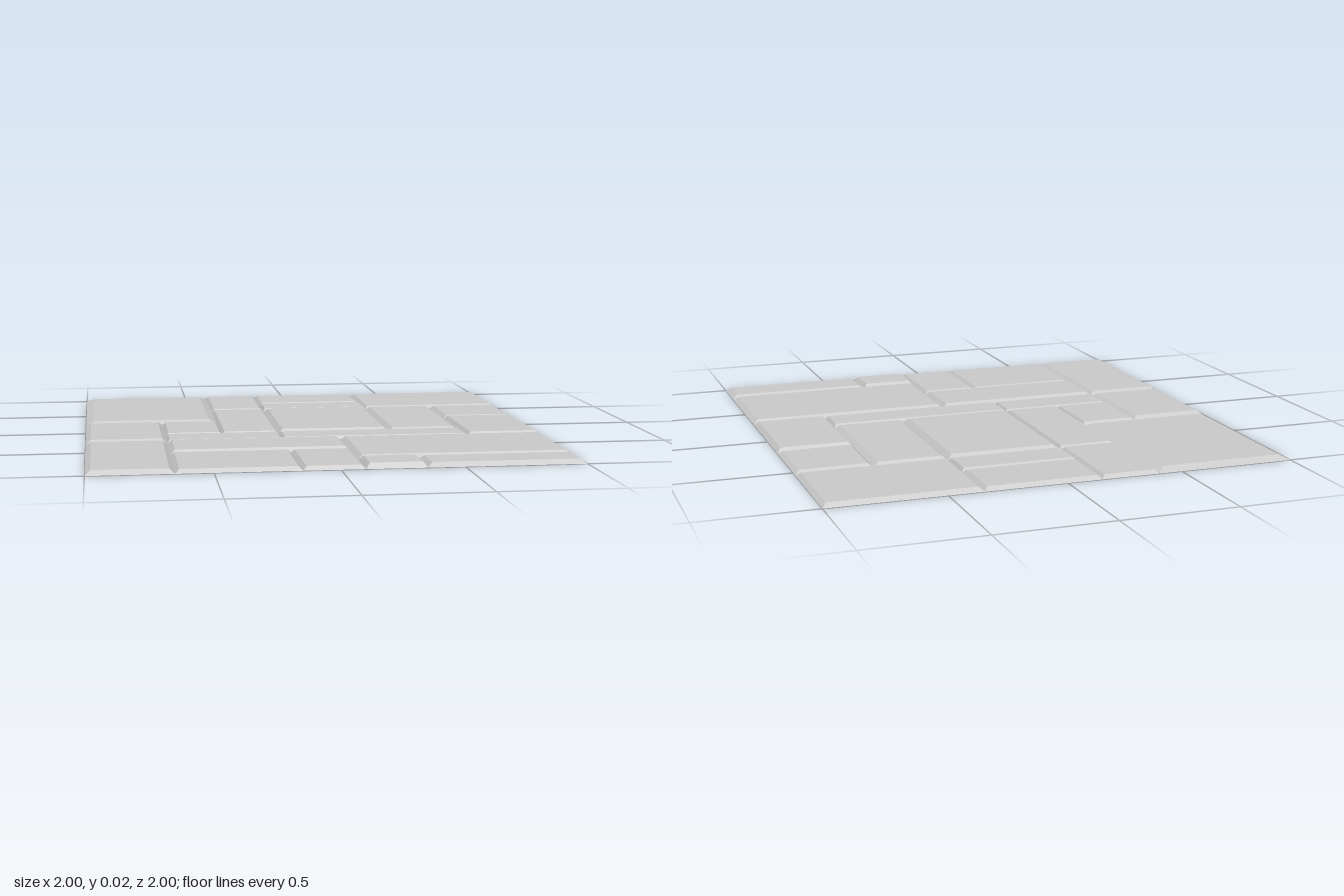
import * as THREE from 'three';

// Joint lines of the paving, and the plan: each letter is the stone filling that cell
const X = [-1, -0.65, -0.4, -0.15, 0.1, 0.35, 0.67, 1];
const Z = [-1, -0.72, -0.54, -0.2, 0.13, 0.3, 0.59, 0.8, 1];
const PLAN = [
  'AABCCDD',
  'AABEEDD',
  'AAFGGHI',
  'JKFGGHL',
  'JMMNNNL',
  'OPPPQQQ',
  'ORRSQQQ',
  'ORRSTUU',
];

// Name, top height and bevel width of each stone
const STONES = {
  A: ['backLeftSlab', 0.018, 0.04],
  B: ['backNarrowSlab', 0.016, 0.016],
  C: ['backMiddleSlab', 0.016, 0.018],
  D: ['backRightSlab', 0.017, 0.021],
  E: ['backSmallSlab', 0.016, 0.012],
  F: ['middleNarrowSlab', 0.016, 0.014],
  G: ['centreSlab', 0.021, 0.025],
  H: ['middleRightSlab', 0.018, 0.025],
  I: ['rightUpperSlab', 0.017, 0.023],
  J: ['leftSlab', 0.018, 0.026],
  K: ['leftSmallSlab', 0.015, 0.013],
  L: ['rightSlab', 0.02, 0.021],
  M: ['longSlabLeft', 0.015, 0.012],
  N: ['longSlabRight', 0.016, 0.013],
  O: ['frontLeftSlab', 0.018, 0.026],
  P: ['frontLongSlab', 0.02, 0.022],
  Q: ['frontRightSlab', 0.019, 0.026],
  R: ['frontMiddleSlab', 0.016, 0.018],
  S: ['frontNarrowSlab', 0.016, 0.017],
  T: ['frontSmallSlab', 0.022, 0.021],
  U: ['frontCornerSlab', 0.018, 0.023],
};

// Outline of a stone, found from the cells that carry its letter
function stoneBox(letter) {
  const rows = [...PLAN.keys()].filter((r) => PLAN[r].includes(letter));
  const line = PLAN[rows[0]];
  return [
    X[line.indexOf(letter)], X[line.lastIndexOf(letter) + 1],
    Z[rows[0]], Z[rows.at(-1) + 1],
  ];
}

// Open-bottomed bevelled slab: an outer ring on the ground, an inset ring on top
function stoneGeometry([x0, x1, z0, z1], h, bevel) {
  const side = bevel * 0.85; // side bevels are a little steeper than front and back
  const ring = (a, b, c, d, y) => [a, y, c, a, y, d, b, y, d, b, y, c];
  const positions = [
    ...ring(x0, x1, z0, z1, 0),
    ...ring(x0 + side, x1 - side, z0 + bevel, z1 - bevel, h),
  ];
  const index = [4, 5, 6, 4, 6, 7];
  for (let i = 0; i < 4; i++) {
    const j = (i + 1) % 4;
    index.push(i, j, j + 4, i, j + 4, i + 4);
  }
  const indexed = new THREE.BufferGeometry();
  indexed.setAttribute('position', new THREE.Float32BufferAttribute(positions, 3));
  indexed.setIndex(index);
  const geometry = indexed.toNonIndexed();
  geometry.computeVertexNormals();
  return geometry;
}

export function createModel() {
  const group = new THREE.Group();
  group.name = 'stoneFloor';
  const material = new THREE.MeshStandardMaterial({
    color: 0xcccccc, flatShading: true, side: THREE.DoubleSide,
  });
  for (const [letter, [name, height, bevel]] of Object.entries(STONES)) {
    const stone = new THREE.Mesh(stoneGeometry(stoneBox(letter), height, bevel), material);
    stone.name = name;
    group.add(stone);
  }
  return group;
}
